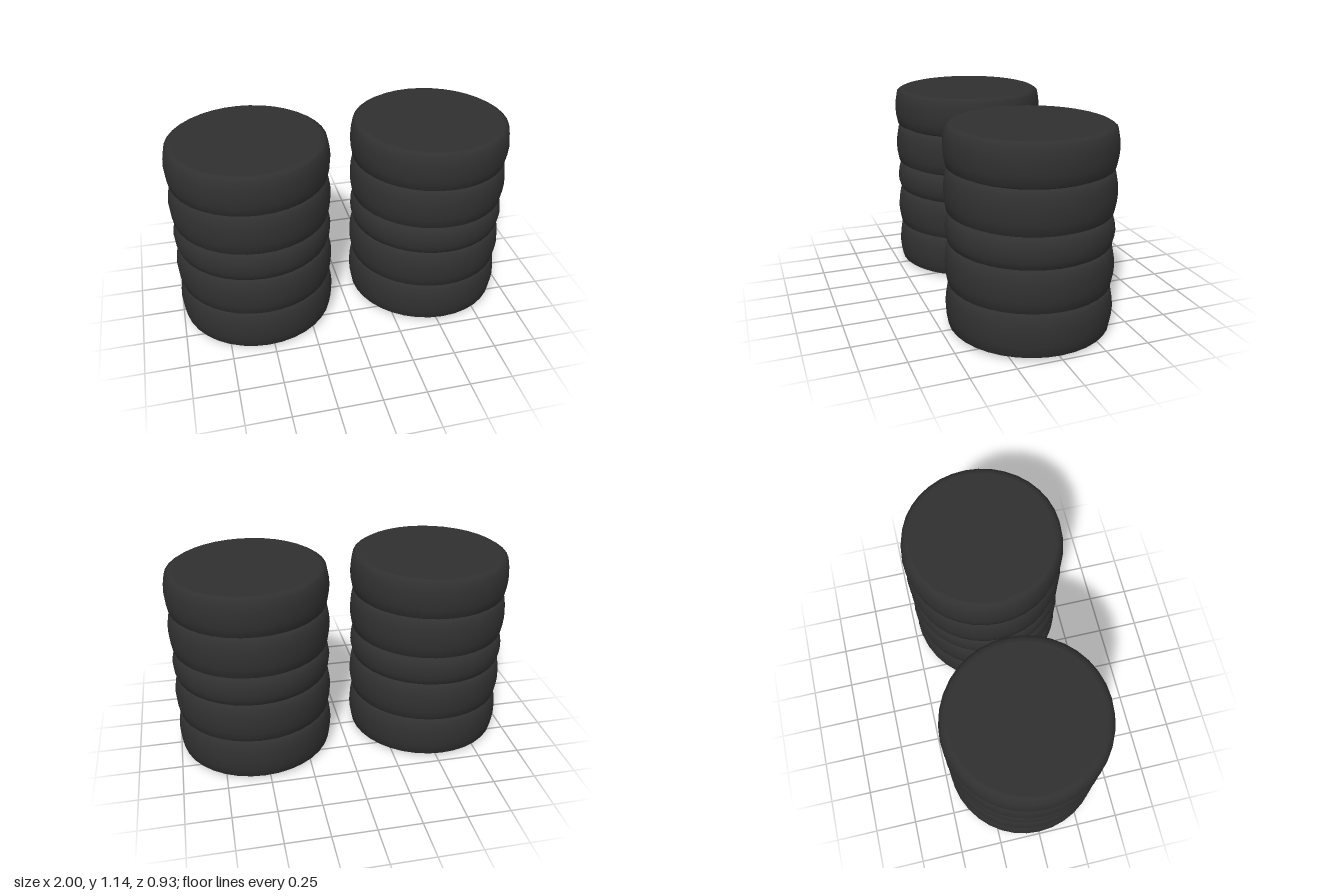
import * as THREE from 'three';

const SEGMENTS = 36;

// One solid, closed tyre: bulging tread with bevelled shoulders and flat faces
function createTyre(bottom, top, radius, material) {
  const tyre = new THREE.Group();
  const h = top - bottom;
  const profile = [
    [0.412, 0],
    [0.43, 0.008],
    [radius - 0.014, 0.018],
    [radius - 0.004, h * 0.3],
    [radius, h * 0.5],
    [radius - 0.004, h * 0.7],
    [radius - 0.014, h - 0.018],
    [0.43, h - 0.005],
    [0.412, h],
  ].map(([r, y]) => new THREE.Vector2(r, y));
  const tread = new THREE.Mesh(new THREE.LatheGeometry(profile, SEGMENTS), material);
  tread.name = 'tread';
  tyre.add(tread);

  // Flat faces share the rim rotation of the tread
  for (const [name, y, turn] of [['topFace', h, -1], ['bottomFace', 0, 1]]) {
    const face = new THREE.Mesh(new THREE.CircleGeometry(0.412, SEGMENTS), material);
    face.name = name;
    face.rotation.x = turn * Math.PI / 2;
    face.position.y = y;
    tyre.add(face);
  }
  tyre.position.y = bottom;
  return tyre;
}

export function createModel() {
  const model = new THREE.Group();
  model.name = 'tyreStacks';
  const rubber = new THREE.MeshStandardMaterial({ color: 0x303031 });
  rubber.name = 'black rubber';

  // Seam heights between tyres, and the radius of each tyre
  const seams = [0, 0.248, 0.487, 0.663, 0.908, 1.145];
  const radii = [0.465, 0.465, 0.461, 0.465, 0.465];

  for (const side of [-1, 1]) {
    const stack = new THREE.Group();
    stack.name = side > 0 ? 'leftStack' : 'rightStack';
    stack.position.x = side * 0.535;
    radii.forEach((radius, i) => {
      const tyre = createTyre(seams[i], seams[i + 1], radius, rubber);
      tyre.name = `tyre${i + 1}`;
      stack.add(tyre);
    });
    model.add(stack);
  }
  return model;
}
